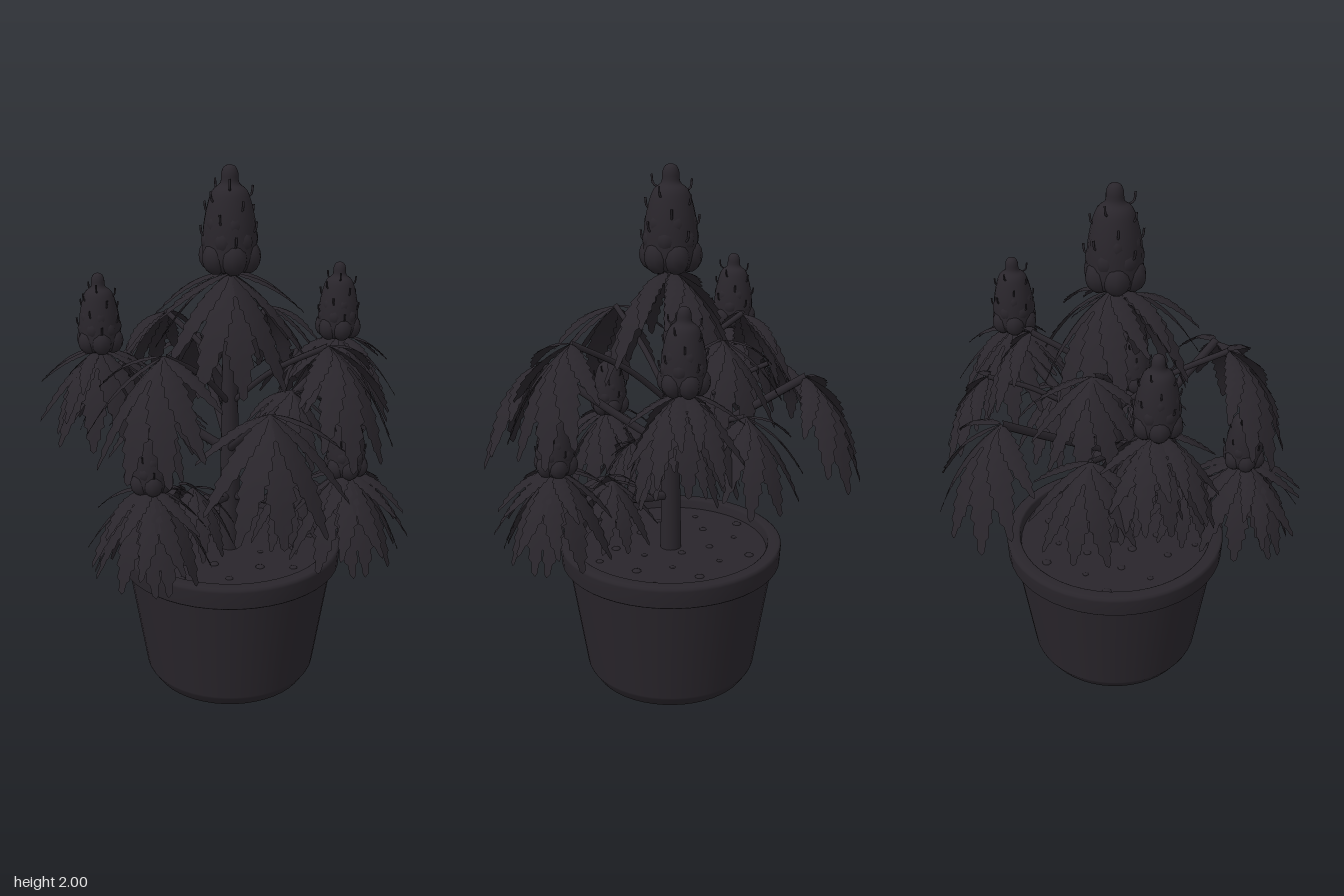
import * as THREE from 'three';
import { mergeGeometries } from 'three/addons/utils/BufferGeometryUtils.js';

const dark = new THREE.MeshStandardMaterial({ color: 0x29252b });
const thin = new THREE.MeshStandardMaterial({ color: 0x29252b, side: THREE.DoubleSide });

function add(parent, name, geometry, material = dark) {
  const mesh = new THREE.Mesh(geometry, material);
  mesh.name = name;
  parent.add(mesh);
  return mesh;
}

function tube(points, radius, segments = 12) {
  const curve = new THREE.CatmullRomCurve3(points.map((p) => new THREE.Vector3(...p)));
  return new THREE.TubeGeometry(curve, segments, radius, 8);
}

// One serrated leaflet arching down along direction a, its blade level across
function leaflet(a, len) {
  const rows = 18, pos = [], index = [];
  const tilt = 0.84, out = 0.52;
  const heading = Math.atan2(Math.sin(a), out * Math.cos(a));
  for (let i = 0; i <= rows; i++) {
    const s = i / rows;
    const tooth = i % 2 ? 1 : 0.76;
    const width = i === rows ? 0 : len * 0.14 * tooth * Math.pow(Math.sin(Math.PI * Math.pow(s, 0.85)), 0.75);
    for (const side of [-1, 0, 1]) {
      const along = len * (s + (side && i % 2 ? 0.03 : 0));
      const across = side * width;
      const u = Math.sin(a) * along, v = Math.cos(a) * along;
      const lift = len * 0.08 * Math.sin(Math.PI * s);
      const droop = len * s * s * (0.1 + 0.28 * Math.abs(Math.sin(a))) + width * Math.abs(side) * 0.3;
      pos.push(u + Math.cos(heading) * across, -tilt * v + out * lift - droop,
        out * v + tilt * lift - Math.sin(heading) * across);
    }
    if (i < rows) {
      for (const k of [i * 3, i * 3 + 1]) index.push(k, k + 3, k + 1, k + 1, k + 3, k + 4);
    }
  }
  const g = new THREE.BufferGeometry();
  g.setAttribute('position', new THREE.Float32BufferAttribute(pos, 3));
  g.setIndex(index);
  g.computeVertexNormals();
  return g;
}

// Palmate fan leaf: seven leaflets from one point, facing +z
function fanLeafGeometry() {
  const parts = [leaflet(0, 0.46)];
  for (const [angle, len] of [[0.4, 0.43], [0.82, 0.37], [1.34, 0.29]]) {
    parts.push(leaflet(angle, len), leaflet(-angle, len));
  }
  return mergeGeometries(parts);
}

// Flower bud: tapered core, swollen bracts and short hairs
function makeBud(name) {
  const bud = new THREE.Group();
  bud.name = name;
  const profile = [[0, 0], [0.07, 0.01], [0.096, 0.05], [0.098, 0.1], [0.094, 0.17], [0.08, 0.24],
    [0.062, 0.29], [0.034, 0.315], [0.03, 0.35], [0.02, 0.372], [0, 0.38]];
  const curve = new THREE.SplineCurve(profile.map((p) => new THREE.Vector2(...p)));
  const outline = curve.getPoints(30).map((p) => p.setX(Math.max(0, p.x)));
  add(bud, 'budCore', new THREE.LatheGeometry(outline, 20));

  const bracts = [];
  // rows: height, ring radius, bract size, count
  const rows = [[0.06, 0.066, 0.05, 6], [0.12, 0.064, 0.04, 6], [0.175, 0.058, 0.038, 6],
    [0.225, 0.048, 0.034, 5], [0.27, 0.034, 0.03, 5]];
  rows.forEach(([y, r, size, count], row) => {
    for (let i = 0; i < count; i++) {
      const a = (i + (row % 2) / 2) / count * Math.PI * 2;
      const g = new THREE.SphereGeometry(size, 10, 8);
      g.scale(1, 1.2, 1);
      g.translate(Math.sin(a) * r, y, Math.cos(a) * r);
      bracts.push(g);
    }
  });
  add(bud, 'bracts', mergeGeometries(bracts));

  const hairs = [];
  for (let i = 0; i < 14; i++) {
    const a = i * 2.4, y = 0.1 + i * 0.015;
    const r = 0.1 - Math.max(0, y - 0.12) * 0.2;
    const at = (k, dy) => [Math.sin(a) * k, y + dy, Math.cos(a) * k];
    hairs.push(tube([at(r - 0.02, 0), at(r + 0.004, 0.012), at(r + 0.01, 0.045)], 0.004, 6));
  }
  add(bud, 'hairs', mergeGeometries(hairs));
  return bud;
}

export function createModel() {
  const model = new THREE.Group();
  model.name = 'pottedPlant';

  // Pot with overhanging rim
  const pot = [[0, 0], [0.3, 0], [0.305, 0.002], [0.33, 0.04], [0.334, 0.05], [0.4, 0.478], [0.4, 0.48],
    [0.42, 0.48], [0.426, 0.486], [0.43, 0.55], [0.43, 0.56], [0.422, 0.566], [0.385, 0.566], [0.378, 0.56], [0.37, 0.5]];
  add(model, 'pot', new THREE.LatheGeometry(pot.map((p) => new THREE.Vector2(...p)), 48), thin);

  // Soil and scattered pebbles
  add(model, 'soil', new THREE.CylinderGeometry(0.376, 0.37, 0.03, 40)).position.y = 0.515;
  const pebbles = [];
  for (let i = 1; i <= 20; i++) {
    const r = 0.34 * Math.sqrt(i / 20), a = i * 2.4;
    const g = new THREE.SphereGeometry(0.012 + (i % 3) * 0.003, 8, 6);
    g.scale(1, 0.4, 1);
    g.translate(Math.sin(a) * r, 0.53, Math.cos(a) * r);
    pebbles.push(g);
  }
  add(model, 'pebbles', mergeGeometries(pebbles));

  // Main stem
  add(model, 'stem', new THREE.CylinderGeometry(0.022, 0.042, 1.12, 14)).position.y = 1.08;

  const fan = fanLeafGeometry();
  const leaf = (name, x, y, z, heading, scale) => {
    const mesh = add(model, name, fan, thin);
    mesh.position.set(x, y, z);
    mesh.rotation.y = THREE.MathUtils.degToRad(heading);
    mesh.scale.setScalar(scale);
  };
  const bud = (name, x, y, z, scale) => {
    const b = makeBud(name);
    b.position.set(x, y, z);
    b.scale.setScalar(scale);
    model.add(b);
  };

  // Crown
  bud('topBud', 0, 1.62, 0, 1);
  leaf('crownLeaf', 0, 1.62, 0.01, 0, 0.95);
  leaf('crownLeaf', 0, 1.62, -0.01, 180, 0.95);

  for (const s of [1, -1]) {
    // Long-stalked leaves at front and back
    add(model, 'leafStalk', tube([[0, 0.94, 0], [s * 0.012, 1.07, s * 0.22], [s * 0.03, 1.25, s * 0.5]], 0.016));
    leaf('stalkLeaf', s * 0.03, 1.25, s * 0.495, s > 0 ? 0 : 180, 0.92);

    // Upper side branch with bud
    add(model, 'upperBranch', tube([[0, 0.93, 0], [s * 0.2, 1.06, -0.06], [s * 0.4, 1.22, -0.13], [s * 0.46, 1.33, -0.15]], 0.018));
    bud('sideBud', s * 0.46, 1.31, -0.15, 0.78);
    for (const h of [18, 108, 198]) leaf('sideBudLeaf', s * 0.46, 1.32, -0.15, s * h, h === 108 ? 0.72 : 0.8);
    for (const h of [18, 198]) leaf('branchLeaf', s * 0.26, 1.13, -0.08, s * h, 0.66);
    add(model, 'leafStalk', tube([[s * 0.2, 1.06, -0.06], [s * 0.28, 1.15, -0.2], [s * 0.35, 1.21, -0.34]], 0.01));
    leaf('branchLeaf', s * 0.35, 1.21, -0.34, s * 145, 0.72);

    // Lower front branch with bud
    add(model, 'lowerBranch', tube([[0, 0.75, 0], [s * 0.12, 0.77, 0.12], [s * 0.28, 0.86, 0.28], [s * 0.35, 0.96, 0.34]], 0.018));
    bud('frontBud', s * 0.35, 0.94, 0.34, 0.7);
    for (const h of [-45, 45, 135]) leaf('frontBudLeaf', s * 0.35, 0.96, 0.34, s * h, 0.78);
    leaf('branchLeaf', s * 0.18, 0.88, 0.2, s * -42, 0.56);
    leaf('branchLeaf', s * 0.22, 0.88, 0.17, s * 130, 0.56);

    // Upper leaves on stalks, diagonal front and back
    add(model, 'leafStalk', tube([[0, 1.12, 0], [s * 0.13, 1.28, 0.13], [s * 0.29, 1.41, 0.29]], 0.011));
    leaf('upperFrontLeaf', s * 0.29, 1.41, 0.29, s * 45, 0.92);
    add(model, 'leafStalk', tube([[0, 1.2, 0], [s * 0.09, 1.33, -0.1], [s * 0.2, 1.43, -0.23]], 0.011));
    leaf('upperBackLeaf', s * 0.2, 1.43, -0.23, s * 138, 0.72);
  }
  return model;
}
